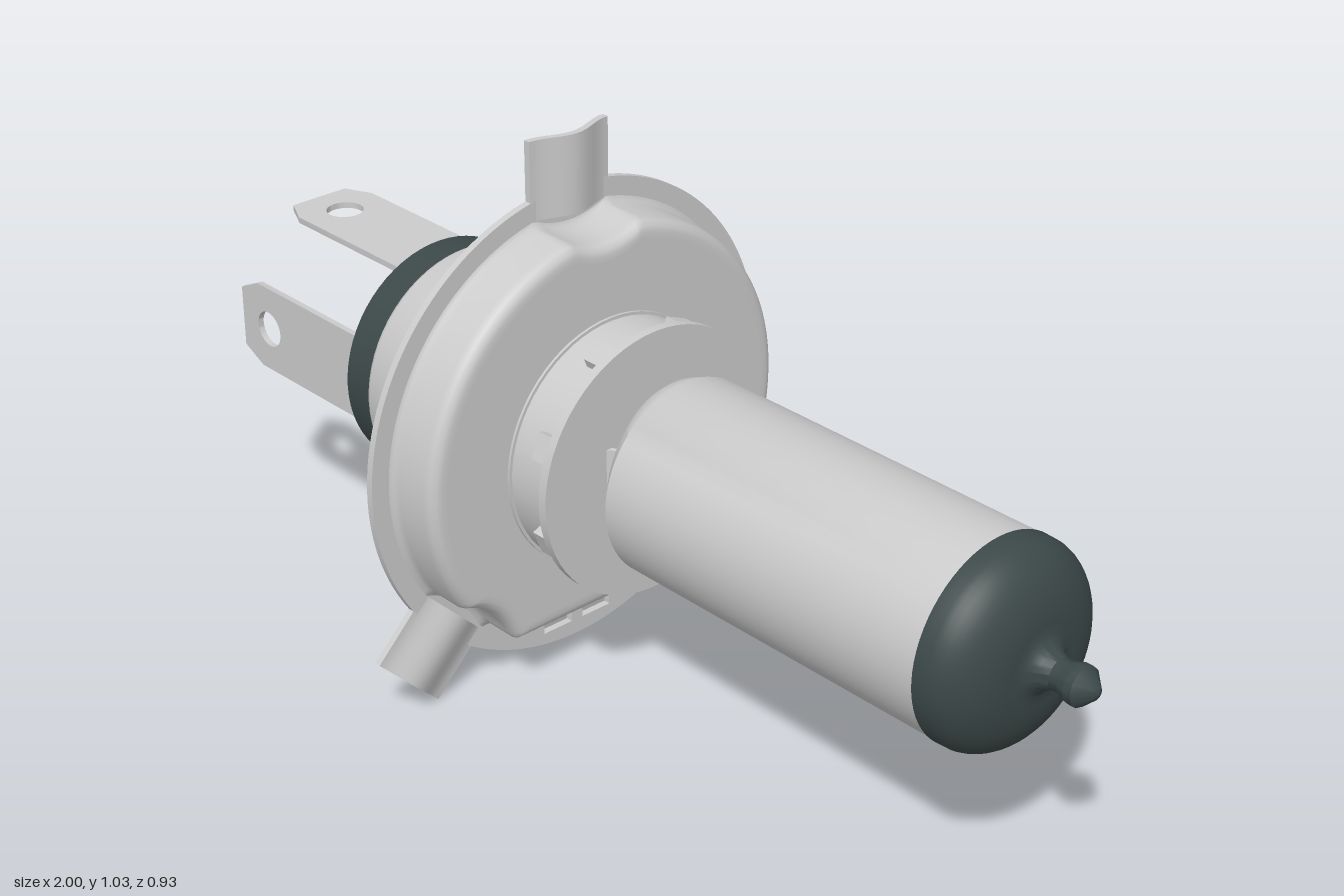
import * as THREE from 'three';
import { toCreasedNormals } from 'three/addons/utils/BufferGeometryUtils.js';

const metal = new THREE.MeshStandardMaterial({ color: 0xcccccc });
const sheet = new THREE.MeshStandardMaterial({ color: 0xcccccc, side: THREE.DoubleSide });
const dark = new THREE.MeshStandardMaterial({ color: 0x3c4848 });

function add(parent, name, geometry, material = metal) {
  const mesh = new THREE.Mesh(geometry, material);
  mesh.name = name;
  parent.add(mesh);
  return mesh;
}

// Turned part around the x axis, from [x, radius] pairs in order of rising x
function turned(profile, sides = 64, crease = 0.6) {
  const g = new THREE.LatheGeometry(profile.map(([x, r]) => new THREE.Vector2(r, x)), sides);
  return toCreasedNormals(g.rotateZ(-Math.PI / 2), crease);
}

function box(sx, sy, sz, x, y, z) {
  return new THREE.BoxGeometry(sx, sy, sz).translate(x, y, z);
}

// Outline of the raised flange: round, dented at the top, flat below, with scooped corners
function domeOutline() {
  const a0 = Math.atan2(0.402, 0.08), a1 = Math.atan2(-0.228, 0.341);
  const s = new THREE.Shape();
  s.absarc(0, 0, 0.41, a0, a1, true);
  s.quadraticCurveTo(0.267, -0.246, 0.225, -0.34);
  s.lineTo(-0.225, -0.34);
  s.quadraticCurveTo(-0.267, -0.246, -0.341, -0.228);
  s.absarc(0, 0, 0.41, Math.PI - a1, Math.PI - a0, true);
  s.quadraticCurveTo(0, 0.362, 0.08, 0.402);
  return s.getSpacedPoints(240).slice(0, -1);
}

// Pressed sheet: the outline swept through [inset, x] steps, then in to a round hole
function domeGeometry(outline) {
  const steps = [[-0.016, -0.239], [-0.006, -0.235], [0, -0.224], [0, -0.16],
    [0.004, -0.146], [0.012, -0.138], [0.022, -0.135], [0.035, -0.135], [null, -0.135]];
  const n = outline.length, pos = [], idx = [];
  steps.forEach(([inset, x], j) => outline.forEach((p, i) => {
    const r = p.length();
    const k = inset === null ? 0.23 / r : (r - inset) / r;
    pos.push(x, p.y * k, -p.x * k);
    if (j === 0) return;
    const a = (j - 1) * n + i, b = (j - 1) * n + (i + 1) % n;
    idx.push(a, a + n, b, b, a + n, b + n);
  }));
  const g = new THREE.BufferGeometry();
  g.setAttribute('position', new THREE.Float32BufferAttribute(pos, 3));
  g.setIndex(idx);
  g.computeVertexNormals();
  return g;
}

// Flat round plate with two small windows and an opening for the dome
function plateGeometry(outline) {
  const s = new THREE.Shape();
  s.absarc(0, 0, 0.46, 0, Math.PI * 2, false);
  s.holes.push(new THREE.Path(outline.map((p) => p.clone().multiplyScalar(1.03))));
  for (const x of [-0.081, 0.013]) {
    s.holes.push(new THREE.Path([[0, -0.43], [0.068, -0.43], [0.068, -0.38], [0, -0.38]]
      .map(([u, v]) => new THREE.Vector2(x + u, v))));
  }
  const g = new THREE.ExtrudeGeometry(s, { depth: 0.014, bevelEnabled: false, curveSegments: 96 });
  return toCreasedNormals(g.rotateY(Math.PI / 2).translate(-0.252, 0, 0), 0.5);
}

// Locating tab, bowed forward across its width
function tabGeometry() {
  const g = box(0.013, 0.17, 0.18, -0.2455, 0.48, 0).toNonIndexed();
  const bowed = new THREE.BoxGeometry(0.013, 0.15, 0.18, 1, 1, 16).translate(-0.2455, 0.49, 0);
  g.dispose();
  const p = bowed.attributes.position;
  for (let i = 0; i < p.count; i++) {
    p.setX(i, p.getX(i) + 0.012 * (1 + Math.cos(Math.PI * p.getZ(i) / 0.09)));
  }
  return toCreasedNormals(bowed, 0.6);
}

// Blade contact with a clipped end and a round hole
function bladeGeometry() {
  const s = new THREE.Shape([[-0.625, -0.088], [-0.625, 0.088], [-0.945, 0.088], [-1, 0.062],
    [-1, -0.062], [-0.945, -0.088]].map(([x, y]) => new THREE.Vector2(x, y)));
  const hole = new THREE.Path();
  hole.absarc(-0.915, 0, 0.036, 0, Math.PI * 2, true);
  s.holes.push(hole);
  const g = new THREE.ExtrudeGeometry(s, { depth: 0.012, bevelEnabled: false, curveSegments: 24 });
  return toCreasedNormals(g.translate(0, 0, 0.183), 0.5);
}

// Glass tube, pinched sideways where it enters the collar
function glassGeometry() {
  const g = new THREE.LatheGeometry([[-0.02, 0], [-0.02, 0.12], [-0.005, 0.14], [0.015, 0.162],
    [0.035, 0.178], [0.06, 0.186], [0.78, 0.186]].map(([x, r]) => new THREE.Vector2(r, x)), 64);
  g.rotateZ(-Math.PI / 2);
  const p = g.attributes.position;
  for (let i = 0; i < p.count; i++) {
    const t = Math.max(0, (0.06 - p.getX(i)) / 0.08);
    p.setZ(i, p.getZ(i) * (1 - 0.3 * t));
  }
  return toCreasedNormals(g, 0.6);
}

export function createModel() {
  const model = new THREE.Group();
  model.name = 'headlightBulb';
  const bulb = new THREE.Group();
  bulb.name = 'bulbAssembly';
  bulb.position.y = 0.463;
  model.add(bulb);

  // Glass, painted cap and sealed tip
  add(bulb, 'glassTube', glassGeometry());
  const cap = [[0.78, 0.18], [0.78, 0.188]];
  for (let i = 1; i <= 12; i++) {
    const a = (i / 12) * Math.PI / 2;
    cap.push([0.795 + 0.092 * Math.sin(a), 0.055 + 0.133 * Math.cos(a)]);
  }
  cap.push([0.892, 0.046], [0.903, 0.035], [0.92, 0.028]);
  add(bulb, 'paintedCap', turned(cap, 64, 0.8), dark);
  add(bulb, 'sealedTip', turned([[0.91, 0.028], [0.935, 0.028], [0.955, 0.036], [0.97, 0.036],
    [0.995, 0.012], [1, 0]], 12), dark);

  // Base cylinder, collar and rear insulator
  add(bulb, 'baseShell', turned([[-0.545, 0], [-0.545, 0.232], [-0.541, 0.238], [-0.532, 0.242],
    [-0.13, 0.242], [-0.13, 0.236], [-0.033, 0.236], [-0.033, 0.257], [-0.015, 0.257], [-0.015, 0]]));
  add(bulb, 'rearInsulator', turned([[-0.625, 0], [-0.625, 0.222], [-0.62, 0.227],
    [-0.54, 0.227], [-0.54, 0]]), dark);
  for (let i = 0; i < 8; i++) {
    const clip = add(bulb, 'collarClip', box(0.036, 0.022, 0.05, -0.05, 0.241, 0));
    clip.rotation.x = (i + 0.5) * Math.PI / 4;
  }
  for (const side of [-1, 1]) {
    const clip = add(bulb, 'glassRetainer', box(0.035, 0.13, 0.01, -0.005, 0, 0));
    clip.position.z = side * 0.1;
    clip.rotation.y = side * 0.6;
  }

  // Mounting flange with three locating tabs
  const flange = new THREE.Group();
  flange.name = 'mountingFlange';
  bulb.add(flange);
  const outline = domeOutline();
  add(flange, 'flangeDome', domeGeometry(outline), sheet);
  add(flange, 'flangePlate', plateGeometry(outline));
  for (const angle of [0, 0.75 * Math.PI, -0.75 * Math.PI]) {
    add(flange, 'locatingTab', tabGeometry()).rotation.x = angle;
  }

  // Three contacts, each with an inward foot and a rivet
  for (const angle of [0, Math.PI, -Math.PI / 2]) {
    const contact = new THREE.Group();
    contact.name = 'contact';
    contact.rotation.x = angle;
    bulb.add(contact);
    add(contact, 'blade', bladeGeometry());
    add(contact, 'foot', box(0.014, 0.12, 0.095, -0.631, 0, 0.1425));
    const rivet = new THREE.CylinderGeometry(0.024, 0.024, 0.01, 6).rotateZ(Math.PI / 2);
    add(contact, 'rivet', toCreasedNormals(rivet.translate(-0.641, 0, 0.135), 0.5));
  }
  return model;
}
